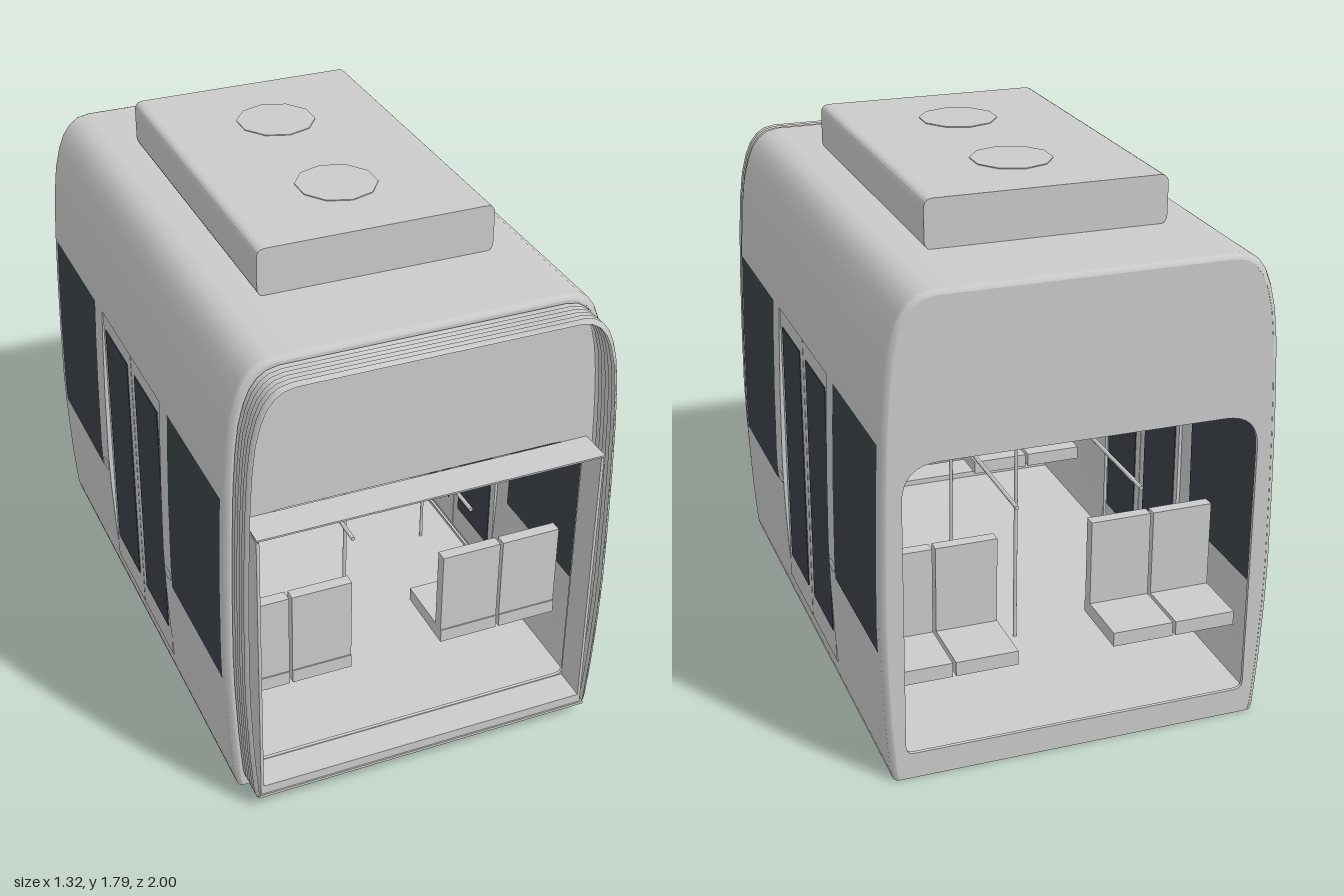
import * as THREE from 'three';

// Half cross-section of the car body, from the sill up to the roof centre
const HALF = [[.625, 0], [.633, .03], [.637, .08], [.646, .2], [.655, .4], [.658, .55], [.655, .8], [.65, 1],
  [.6445, 1.15], [.641, 1.22], [.633, 1.34], [.621, 1.44], [.603, 1.515], [.583, 1.565], [.557, 1.6],
  [.527, 1.621], [.485, 1.63], [.4, 1.63]];
// Limits of the door opening
const DOOR = { y0: .08, y1: 1.15, z0: -.38, z1: .26 };

// Full open section, inset by about d, with its sill raised to y0
function section(d, y0 = 0) {
  const right = HALF.map(([x, y]) => {
    const inset = y > 1.2 ? y - d * (y - 1.2) / .43 : y;
    return [x * (1 - d / .66), y0 + inset * (1 - y0 / 1.63)];
  });
  return [...right, ...right.map(([x, y]) => [-x, y]).reverse()];
}

// Outer wall position at a given height
function wallX(y) {
  let i = 0;
  while (i < HALF.length - 2 && HALF[i + 1][1] < y) i++;
  const [x0, y0] = HALF[i], [x1, y1] = HALF[i + 1];
  return x0 + (x1 - x0) * (y - y0) / (y1 - y0);
}

// Surface through rows of points of equal length; skip(a, b) leaves a cell open
function skin(rows, skip = () => false) {
  const n = rows[0].length, index = [];
  for (let r = 0; r < rows.length - 1; r++)
    for (let i = 0; i < n - 1; i++) {
      if (skip(rows[r][i], rows[r + 1][i + 1])) continue;
      const a = r * n + i, b = a + n;
      index.push(a, a + 1, b, b, a + 1, b + 1);
    }
  const g = new THREE.BufferGeometry();
  g.setAttribute('position', new THREE.Float32BufferAttribute(rows.flat(2), 3));
  g.setIndex(index);
  g.computeVertexNormals();
  return g;
}

// Section swept along z through [z, inset] stations
const loft = (stations, y0, skip) =>
  skin(stations.map(([z, d]) => section(d, y0).map(([x, y]) => [x, y, z])), skip);

// True for cells inside the door opening
const inDoor = (a, b) => {
  const y = (a[1] + b[1]) / 2, z = (a[2] + b[2]) / 2;
  return y > DOOR.y0 && y < DOOR.y1 && z > DOOR.z0 && z < DOOR.z1;
};

// Rows of points up the side wall, each made by a rule
function wallStrip(y0, y1, row) {
  const rows = [];
  for (let i = 0; i <= 28; i++) {
    const y = y0 + (y1 - y0) * i / 28;
    rows.push(row(y, wallX(y)));
  }
  return skin(rows);
}

// Rectangle with separate bottom and top corner radii
function roundRect(path, x0, y0, x1, y1, rb, rt) {
  path.moveTo(x0 + rb, y0);
  path.lineTo(x1 - rb, y0);
  path.quadraticCurveTo(x1, y0, x1, y0 + rb);
  path.lineTo(x1, y1 - rt);
  path.quadraticCurveTo(x1, y1, x1 - rt, y1);
  path.lineTo(x0 + rt, y1);
  path.quadraticCurveTo(x0, y1, x0, y1 - rt);
  path.lineTo(x0, y0 + rb);
  path.quadraticCurveTo(x0, y0, x0 + rb, y0);
  return path;
}

export function createModel() {
  const model = new THREE.Group();
  const grey = new THREE.MeshStandardMaterial({ color: 0xcacaca, side: THREE.DoubleSide });
  grey.name = 'bodyGrey';
  const glass = new THREE.MeshStandardMaterial({ color: 0x3b4248, side: THREE.DoubleSide });
  glass.name = 'darkGlass';

  const add = (name, geometry, material = grey, parent = model) => {
    const m = new THREE.Mesh(geometry, material);
    m.name = name;
    parent.add(m);
    return m;
  };
  // Box given by its limits
  const box = (name, x0, x1, y0, y1, z0, z1, material, parent) => {
    const m = add(name, new THREE.BoxGeometry(Math.abs(x1 - x0), y1 - y0, z1 - z0), material, parent);
    m.position.set((x0 + x1) / 2, (y0 + y1) / 2, (z0 + z1) / 2);
    return m;
  };

  // Outer and inner shell with door openings, floor and flat ceiling
  const { z0: dz0, z1: dz1 } = DOOR;
  add('bodyShell', loft([[-1, .018], [-.995, .006], [-.98, 0], [dz0, 0], [dz1, 0], [.86, 0], [.875, .006], [.88, .018]], 0, inDoor));
  add('innerLining', loft([[-.985, .03], [dz0, .03], [dz1, .03], [.865, .03]], 0, inDoor));
  box('floor', -.624, .624, 0, .07, -.985, .865);
  box('ceiling', -.59, .59, 1.36, 1.37, -.985, .865);

  // End walls with a wide rounded opening
  for (const [name, z] of [['backWall', -.999], ['frontWall', .867]]) {
    const wall = new THREE.Shape(section(.018).map(([x, y]) => new THREE.Vector2(x, y)));
    wall.holes.push(roundRect(new THREE.Path(), -.585, .09, .585, 1.09, .03, .12));
    add(name, new THREE.ExtrudeGeometry(wall, { depth: .012, bevelEnabled: false, curveSegments: 8 })).position.z = z;
  }

  // Gangway bellows and the rectangular passage inside it
  const folds = [];
  for (let i = 0; i <= 12; i++) folds.push([.88 + i * .01, i % 2 ? .022 : .036]);
  add('bellows', loft(folds, .045));
  box('bellowsBase', -.6, .6, .045, .055, .88, 1);
  box('passageFloor', -.59, .59, .055, .088, .88, .995);
  box('passageLintel', -.59, .59, 1.082, 1.088, .88, 1);
  for (const s of [-1, 1]) box('passageSide', s * .58, s * .59, .08, 1.075, .88, .995);

  // Windows, flat sliding doors and buttons on both sides
  for (const s of [-1, 1]) {
    for (const offset of [.001, -.032])
      for (const [z0, z1] of [[.34, .84], [-.955, -.46]])
        add('sideWindow', wallStrip(.45, 1.15, (y, x) => [[s * (x + offset), y, s > 0 ? z1 : z0], [s * (x + offset), y, s > 0 ? z0 : z1]]), glass);
    for (const z of [dz0, dz1])
      add('doorJamb', wallStrip(DOOR.y0, DOOR.y1, (y, x) => [[s * (x - .03), y, z], [s * x, y, z]]));
    for (const [z0, z1, w0, w1] of [[-.058, .259, -.02, .225], [-.377, -.062, -.35, -.1]]) {
      box('doorLeaf', s * .617, s * .642, .088, 1.147, z0, z1);
      for (const x of [.6155, .6435])
        box('doorWindow', s * (x - .0015), s * (x + .0015), .19, 1.09, w0, w1, glass);
    }
    for (const z of [.298, -.42]) {
      const button = add('doorButton', new THREE.SphereGeometry(1, 16, 12));
      button.scale.set(.005, .018, .035);
      button.position.set(s * .657, .48, z);
    }
  }

  // Roof unit with two fan covers
  const unit = roundRect(new THREE.Shape(), -.4, 1.628, .4, 1.79, .03, .03);
  add('roofUnit', new THREE.ExtrudeGeometry(unit, { depth: 1.19, bevelEnabled: false, curveSegments: 5 })).position.z = -.66;
  for (const z of [-.33, .2]) {
    add('fanCover', new THREE.CylinderGeometry(.135, .135, .01, 10)).position.set(0, 1.788, z);
  }

  // Seat pairs facing the back
  for (const back of [.75, -.63])
    for (const s of [-1, 1])
      for (const x of [.2725, .4955]) {
        const seat = new THREE.Group();
        seat.name = 'seat';
        model.add(seat);
        const cx = s * x;
        box('seatCushion', cx - .106, cx + .106, .265, .315, back - .25, back, grey, seat);
        box('seatBack', cx - .106, cx + .106, .315, .62, back - .045, back - .004, grey, seat);
      }

  // Grab poles and long hand rails
  const pole = (name, x, y0, y1, z, r) =>
    add(name, new THREE.CylinderGeometry(r, r, y1 - y0, 8)).position.set(x, (y0 + y1) / 2, z);
  for (const z of [.3, -.4]) pole('centrePole', 0, .07, 1.36, z, .007);
  for (const s of [-1, 1]) {
    pole('sidePole', s * .48, .07, 1.065, -.06, .006);
    const rail = add('handRail', new THREE.CylinderGeometry(.007, .007, 1.8, 8));
    rail.rotation.x = Math.PI / 2;
    rail.position.set(s * .207, .875, -.06);
  }

  // Display on the front pole, dark on both faces
  box('displayCase', -.155, .155, .94, 1.05, .3, .34);
  for (const z of [.296, .34]) box('displayScreen', -.14, .14, .952, 1.038, z, z + .004, glass);

  return model;
}
